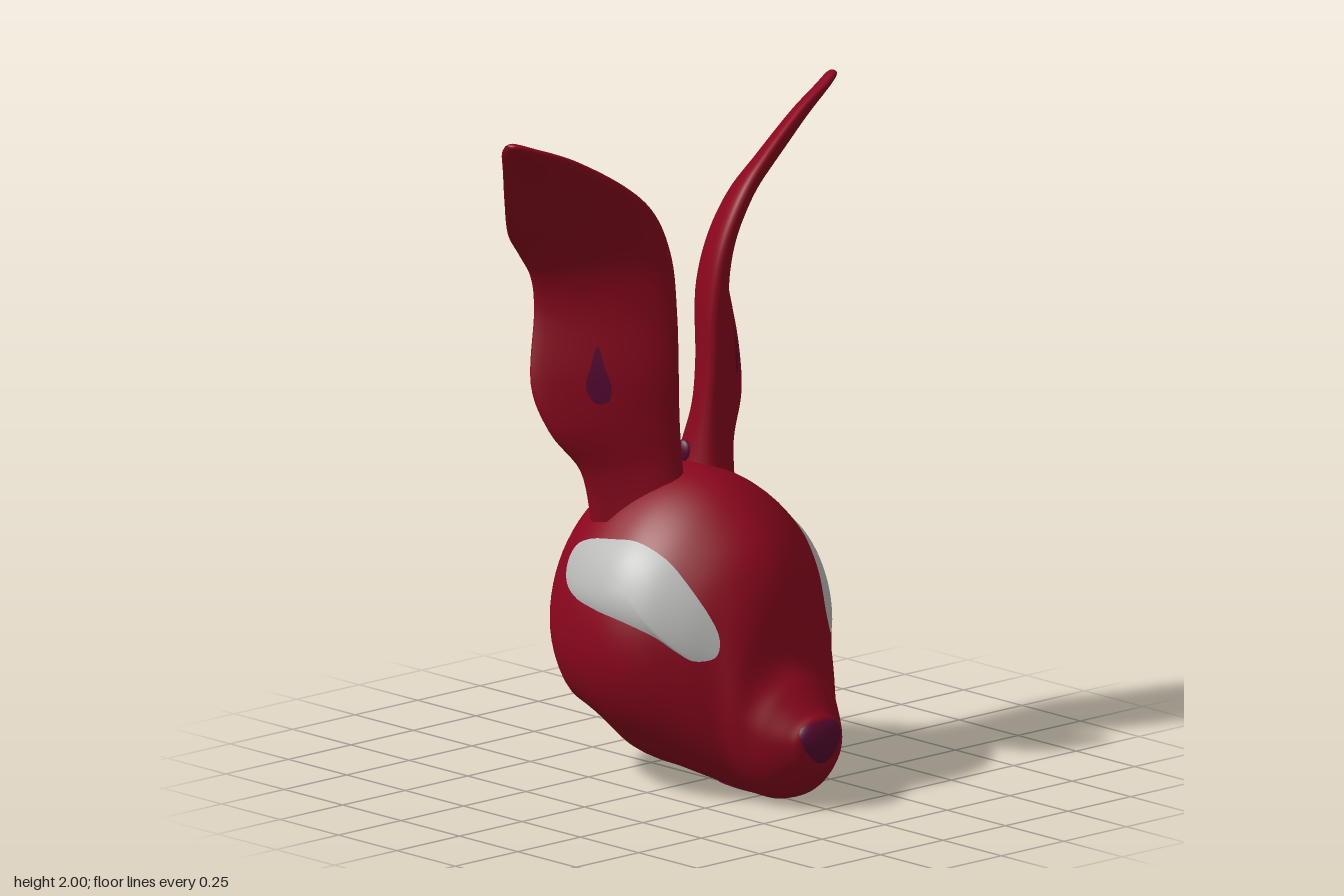
import * as THREE from 'three';

const mat = (name, color) => {
  const m = new THREE.MeshStandardMaterial({ color, side: THREE.DoubleSide });
  m.name = name;
  return m;
};

// Smooth interpolation of every column of a table of rows, t from 0 to 1
function spline(rows, t) {
  const n = rows.length - 1;
  const s = THREE.MathUtils.clamp(t, 0, 1) * n;
  const i = Math.min(Math.floor(s), n - 1), f = s - i;
  const a = rows[Math.max(i - 1, 0)], b = rows[i], c = rows[i + 1], d = rows[Math.min(i + 2, n)];
  return b.map((_, k) => b[k] + 0.5 * f * (c[k] - a[k] + f * (2 * a[k] - 5 * b[k] + 4 * c[k] - d[k]
    + f * (3 * (b[k] - c[k]) + d[k] - a[k]))));
}

// Skin over closed rings; point(t, angle) returns a Vector3
function loft(point, steps, sides) {
  const pos = [], idx = [];
  for (let i = 0; i <= steps; i++) {
    for (let j = 0; j < sides; j++) {
      pos.push(...point(i / steps, j / sides * Math.PI * 2).toArray());
      if (i === steps) continue;
      const a = i * sides + j, b = i * sides + (j + 1) % sides;
      idx.push(a, b, a + sides, b, b + sides, a + sides);
    }
  }
  return finish(pos, idx);
}

// Thin patch filling an outline drawn in surface coordinates
function patch(outline, centre, surface, rings = 10) {
  const curve = new THREE.CatmullRomCurve3(outline.map(([u, v]) => new THREE.Vector3(u, v, 0)), true);
  const sides = 64, pts = curve.getPoints(sides);
  const pos = [...surface(centre[0], centre[1], 0).toArray()], idx = [];
  for (let i = 1; i <= rings; i++) {
    const r = i / rings;
    for (let j = 0; j < sides; j++) {
      const u = centre[0] + (pts[j].x - centre[0]) * r, v = centre[1] + (pts[j].y - centre[1]) * r;
      pos.push(...surface(u, v, r).toArray());
      const k = (j + 1) % sides, a = 1 + (i - 1) * sides;
      if (i === 1) idx.push(0, 1 + j, 1 + k);
      else idx.push(a - sides + j, a + j, a + k, a - sides + j, a + k, a - sides + k);
    }
  }
  return finish(pos, idx);
}

function finish(pos, idx) {
  const g = new THREE.BufferGeometry();
  g.setAttribute('position', new THREE.Float32BufferAttribute(pos, 3));
  g.setIndex(idx);
  g.computeVertexNormals();
  return g;
}

// Head sections from back to snout: z, bottom, top, widest height, half width, lower taper
const HEAD = [
  [-0.503, 0.48, 0.48, 0.48, 0, 1.1], [-0.495, 0.38, 0.58, 0.48, 0.09, 1.1], [-0.465, 0.26, 0.68, 0.47, 0.175, 1.1],
  [-0.4, 0.18, 0.80, 0.46, 0.265, 1.1], [-0.3, 0.1, 0.88, 0.45, 0.34, 1.15], [-0.2, 0.06, 0.92, 0.45, 0.38, 1.2],
  [-0.1, 0.035, 0.935, 0.45, 0.397, 1.25], [0, 0.03, 0.925, 0.45, 0.40, 1.25], [0.1, 0.02, 0.885, 0.44, 0.37, 1.2],
  [0.2, 0.01, 0.81, 0.42, 0.30, 1.05], [0.27, 0.005, 0.725, 0.38, 0.235, 0.95], [0.315, 0.005, 0.61, 0.31, 0.205, 0.9],
  [0.35, 0.01, 0.435, 0.25, 0.18, 0.9], [0.4, 0.03, 0.36, 0.21, 0.15, 0.9], [0.45, 0.075, 0.295, 0.2, 0.11, 0.9],
  [0.48, 0.12, 0.265, 0.2, 0.075, 0.9], [0.492, 0.2, 0.2, 0.2, 0, 0.9],
];
const UPPER = 1.17;

function headPoint(t, a) {
  const [z, bot, top, mid, w, lower] = spline(HEAD, t);
  const s = Math.sin(a), c = Math.cos(a);
  const y = mid + s * (s > 0 ? top - mid : mid - bot);
  let x = Math.sign(c) * w * Math.pow(Math.abs(c), s < 0 ? lower : UPPER);
  // pinch under the cheeks
  x *= 1 - 0.25 * Math.exp(-(((y - 0.16) / 0.06) ** 2) - ((z + 0.26) / 0.09) ** 2);
  return new THREE.Vector3(x, y, z);
}

function headAt(z) {
  let lo = 0, hi = 1;
  for (let i = 0; i < 30; i++) {
    const m = (lo + hi) / 2;
    if (spline(HEAD, m)[0] < z) lo = m; else hi = m;
  }
  return spline(HEAD, lo);
}

function headSide(z, y) {
  const [, bot, top, mid, w, lower] = headAt(z);
  const s = y > mid ? (y - mid) / (top - mid) : (mid - y) / (mid - bot);
  return w * Math.pow(Math.sqrt(Math.max(0, 1 - s * s)), y < mid ? lower : UPPER);
}

function headUnder(x, z) {
  const [, bot, , mid, w, lower] = headAt(z);
  const c = Math.pow(Math.abs(x) / w, 1 / lower);
  return mid - (mid - bot) * Math.sqrt(Math.max(0, 1 - c * c));
}

// Ear sections from base to tip: inner edge xyz, outer edge xyz, thickness
const EAR = [
  [0.01, 0.82, -0.09, 0.25, 0.79, -0.25, 0.20], [0.03, 0.95, -0.09, 0.28, 0.94, -0.26, 0.145],
  [0.045, 1.08, -0.085, 0.365, 1.06, -0.30, 0.115], [0.055, 1.22, -0.075, 0.395, 1.2, -0.345, 0.105],
  [0.063, 1.40, -0.07, 0.363, 1.41, -0.362, 0.095], [0.095, 1.58, -0.058, 0.38, 1.52, -0.358, 0.08],
  [0.17, 1.73, -0.05, 0.435, 1.60, -0.35, 0.07], [0.28, 1.83, -0.06, 0.505, 1.68, -0.325, 0.055],
  [0.45, 1.93, -0.095, 0.57, 1.80, -0.27, 0.045], [0.58, 1.98, -0.125, 0.622, 1.91, -0.22, 0.035],
  [0.635, 1.997, -0.145, 0.646, 1.965, -0.197, 0.025], [0.652, 1.995, -0.165, 0.652, 1.988, -0.178, 0.004],
];
const earMid = (t) => {
  const e = spline(EAR, t);
  return new THREE.Vector3(e[0] + e[3], e[1] + e[4], e[2] + e[5]).multiplyScalar(0.5);
};

function earPoint(t, c, s, lift = 0) {
  const e = spline(EAR, t);
  const half = new THREE.Vector3(e[3] - e[0], e[4] - e[1], e[5] - e[2]).multiplyScalar(0.5);
  const along = earMid(t + 0.01).sub(earMid(t - 0.01));
  const n = half.clone().cross(along).normalize();
  const depth = e[6] * 0.5 * s * (1 - 0.3 * c) + e[6] * 0.2 * c * c + lift;
  return earMid(t).addScaledVector(half, c).addScaledVector(n, depth);
}

export function createModel() {
  const red = mat('crimson', 0x8a061d);
  const white = mat('pale grey', 0xb8b8b6);
  const plum = mat('plum', 0x570730);
  const model = new THREE.Group();
  const add = (name, geometry, material, parent = model) => {
    const m = new THREE.Mesh(geometry, material);
    m.name = name;
    parent.add(m);
  };

  add('head', loft(headPoint, 96, 64), red);

  // Nose: rounded, narrowing downwards
  const nose = new THREE.SphereGeometry(1, 32, 20);
  const p = nose.attributes.position;
  for (let i = 0; i < p.count; i++) p.setX(i, p.getX(i) * (1 + 0.3 * p.getY(i)));
  nose.scale(0.083, 0.073, 0.045).translate(0, 0.2, 0.46);
  nose.computeVertexNormals();
  add('nose', nose, plum);

  // Mouth mark under the chin
  const mouth = [[0.085, 0.15], [0, 0.24], [-0.085, 0.15], [0, 0.06]];
  add('mouth', patch(mouth, [0, 0.15], (x, z) => new THREE.Vector3(x, headUnder(x, z) - 0.004, z)), plum);

  // Eye outline in z and y, ear mark outline along and across the ear
  const eye = [[0.27, 0.455], [0.275, 0.5], [0.24, 0.58], [0.17, 0.67], [0.1, 0.73], [0, 0.765], [-0.1, 0.757],
    [-0.2, 0.738], [-0.265, 0.705], [-0.28, 0.66], [-0.25, 0.61], [-0.18, 0.58], [-0.08, 0.565], [0.03, 0.55],
    [0.13, 0.515], [0.19, 0.47], [0.23, 0.445]];
  const mark = [[0.32, 0.1], [0.295, 0.19], [0.265, 0.27], [0.243, 0.23], [0.234, 0.1], [0.243, -0.03],
    [0.265, -0.07], [0.295, 0.01]];

  for (const [side, sx] of [['left', 1], ['right', -1]]) {
    const half = new THREE.Group();
    half.name = side + 'Side';
    half.scale.x = sx;
    model.add(half);
    add(side + 'Ear', loft((t, a) => earPoint(t, Math.cos(a), Math.sin(a)), 66, 32), red, half);
    add(side + 'EarMark', patch(mark, [0.265, 0.1],
      (t, c) => earPoint(t, c, Math.sqrt(1 - c * c), 0.004)), plum, half);
    add(side + 'Eye', patch(eye, [0.02, 0.65],
      (z, y, r) => new THREE.Vector3(headSide(z, y) + 0.002 + 0.014 * (1 - r ** 3), y, z), 16), white, half);
    // Small mark at the inner ear root
    const root = new THREE.SphereGeometry(1, 16, 12).scale(0.016, 0.035, 0.03).translate(0.038, 0.955, -0.15);
    add(side + 'EarRootMark', root, plum, half);
  }
  return model;
}
